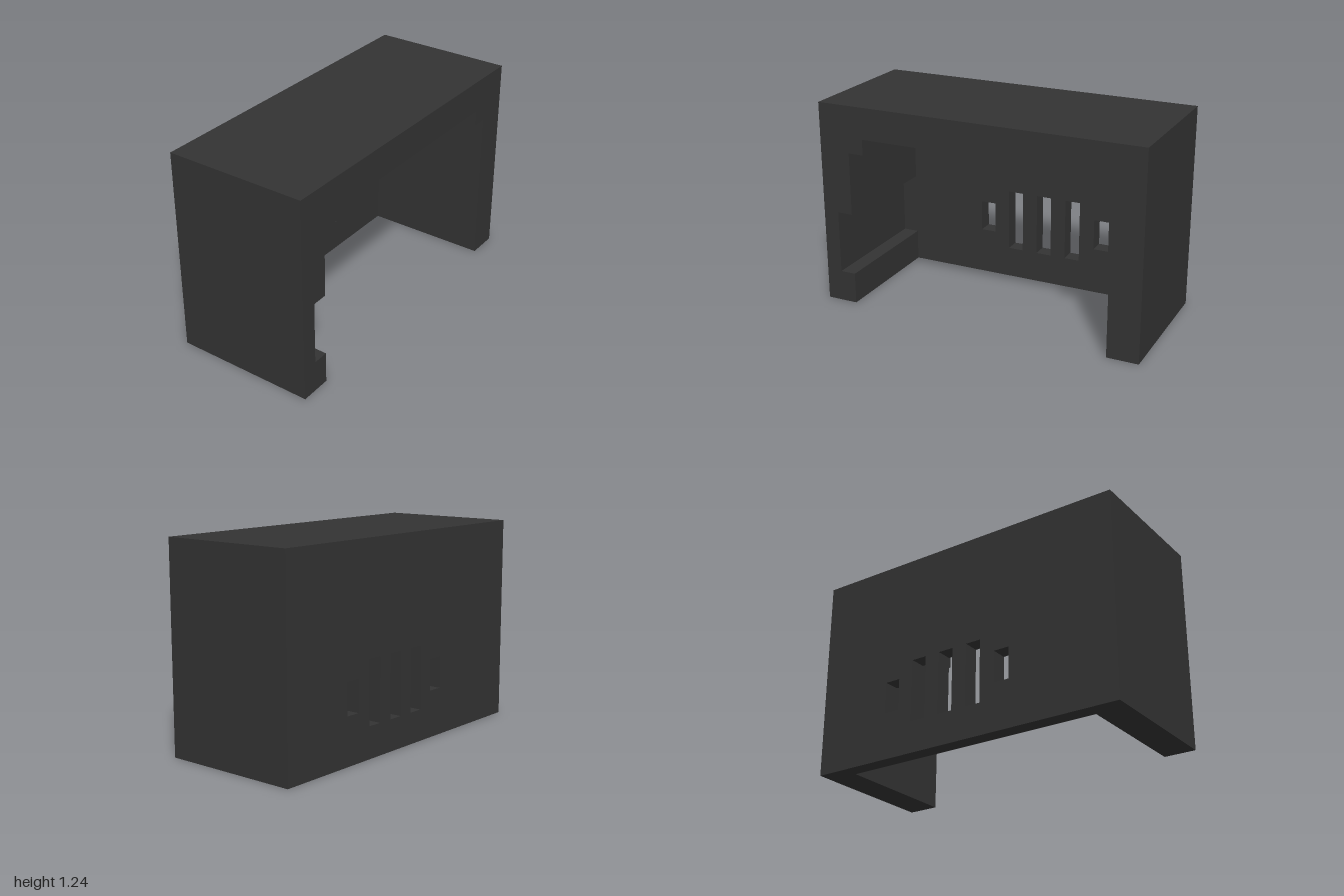
import * as THREE from 'three';

// Everything sits on a regular module: 21 wide, 13 high, 9 deep.
const U = 2 / 21;
const W = 21, H = 13, D = 9, BACK = 1;

const points = (list) => list.map(([x, y]) => new THREE.Vector2(x * U, y * U));

// Extrude a shape between two depths (in modules, measured from the back).
function slab(name, shape, from, to, material) {
  const geometry = new THREE.ExtrudeGeometry(shape, { depth: (to - from) * U, bevelEnabled: false });
  geometry.translate(0, 0, (from - D / 2) * U);
  const mesh = new THREE.Mesh(geometry, material);
  mesh.name = name;
  return mesh;
}

export function createModel() {
  const group = new THREE.Group();
  group.name = 'slottedCover';
  const material = new THREE.MeshStandardMaterial({ color: 0x333333 });

  // Back wall with five vent slots, the outer two shorter
  const back = new THREE.Shape(points([[-W / 2, 0], [W / 2, 0], [W / 2, H], [-W / 2, H]]));
  for (let i = 0; i < 5; i++) {
    const x = -3.5 + 2 * i;
    const half = i === 0 || i === 4 ? 1 : 2;
    back.holes.push(new THREE.Path(points([
      [x, 4 - half], [x, 4 + half], [x + 1, 4 + half], [x + 1, 4 - half],
    ])));
  }
  group.add(slab('backWall', back, 0, BACK, material));

  // Side walls and roof: open below and in front, stepped upper corners,
  // and a groove along the right wall
  const frame = new THREE.Shape(points([
    [-W / 2, 0], [-8.5, 0], [-8.5, 2], [-9.5, 2], [-9.5, 6], [-8.5, 6],
    [-8.5, 10], [-7.5, 10], [-7.5, 11], [7.5, 11], [7.5, 10], [8.5, 10],
    [8.5, 0], [W / 2, 0], [W / 2, H], [-W / 2, H],
  ]));
  group.add(slab('wallsAndRoof', frame, BACK, D, material));

  return group;
}
